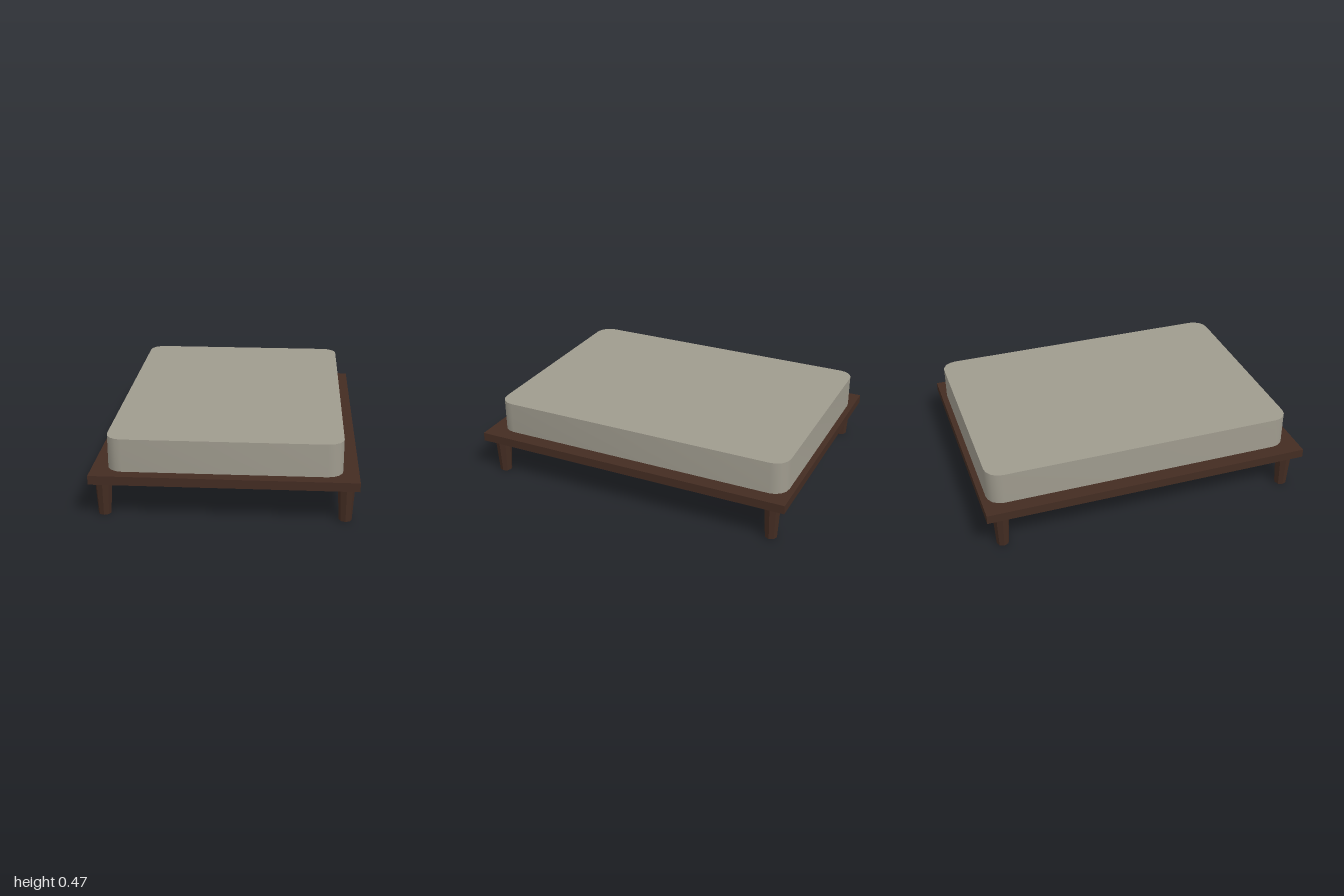
import * as THREE from 'three';
import { toCreasedNormals } from 'three/addons/utils/BufferGeometryUtils.js';

const LEG_H = 0.215, SLAB_TOP = 0.268, MATTRESS_TOP = 0.465;

// Rectangle with rounded corners, centred on the origin
function roundedRect(w, d, r) {
  const x = w / 2, y = d / 2;
  const s = new THREE.Shape();
  s.moveTo(x, -y + r);
  s.lineTo(x, y - r);
  s.absarc(x - r, y - r, r, 0, Math.PI / 2);
  s.absarc(-x + r, y - r, r, Math.PI / 2, Math.PI);
  s.absarc(-x + r, -y + r, r, Math.PI, Math.PI * 1.5);
  s.absarc(x - r, -y + r, r, Math.PI * 1.5, Math.PI * 2);
  return s;
}

export function createModel() {
  const wood = new THREE.MeshStandardMaterial({ color: 0x432c22 });
  wood.name = 'dark wood';
  const fabric = new THREE.MeshStandardMaterial({ color: 0x9f9b8e });
  fabric.name = 'grey fabric';

  const group = new THREE.Group();
  group.name = 'bed';
  const add = (name, geometry, material, x, y, z) => {
    const mesh = new THREE.Mesh(geometry, material);
    mesh.name = name;
    mesh.position.set(x, y, z);
    group.add(mesh);
  };

  // Flat platform
  const slabH = SLAB_TOP - LEG_H;
  add('platform', new THREE.BoxGeometry(1.53, slabH, 2), wood, 0, LEG_H + slabH / 2, 0);

  // Mattress, set slightly towards the back
  const body = new THREE.ExtrudeGeometry(roundedRect(1.35, 1.893, 0.092), {
    depth: MATTRESS_TOP - SLAB_TOP, bevelEnabled: false, curveSegments: 2,
  });
  body.rotateX(-Math.PI / 2);
  add('mattress', toCreasedNormals(body, 0.5), fabric, 0, SLAB_TOP, -0.018);

  // Four tapered legs
  const leg = toCreasedNormals(new THREE.CylinderGeometry(0.05, 0.037, LEG_H, 8), 0.5);
  for (const [side, x] of [['Left', 0.693], ['Right', -0.693]]) {
    for (const [end, z] of [['front', 0.905], ['back', -0.905]]) {
      add(`${end}${side}Leg`, leg, wood, x, LEG_H / 2, z);
    }
  }
  return group;
}
